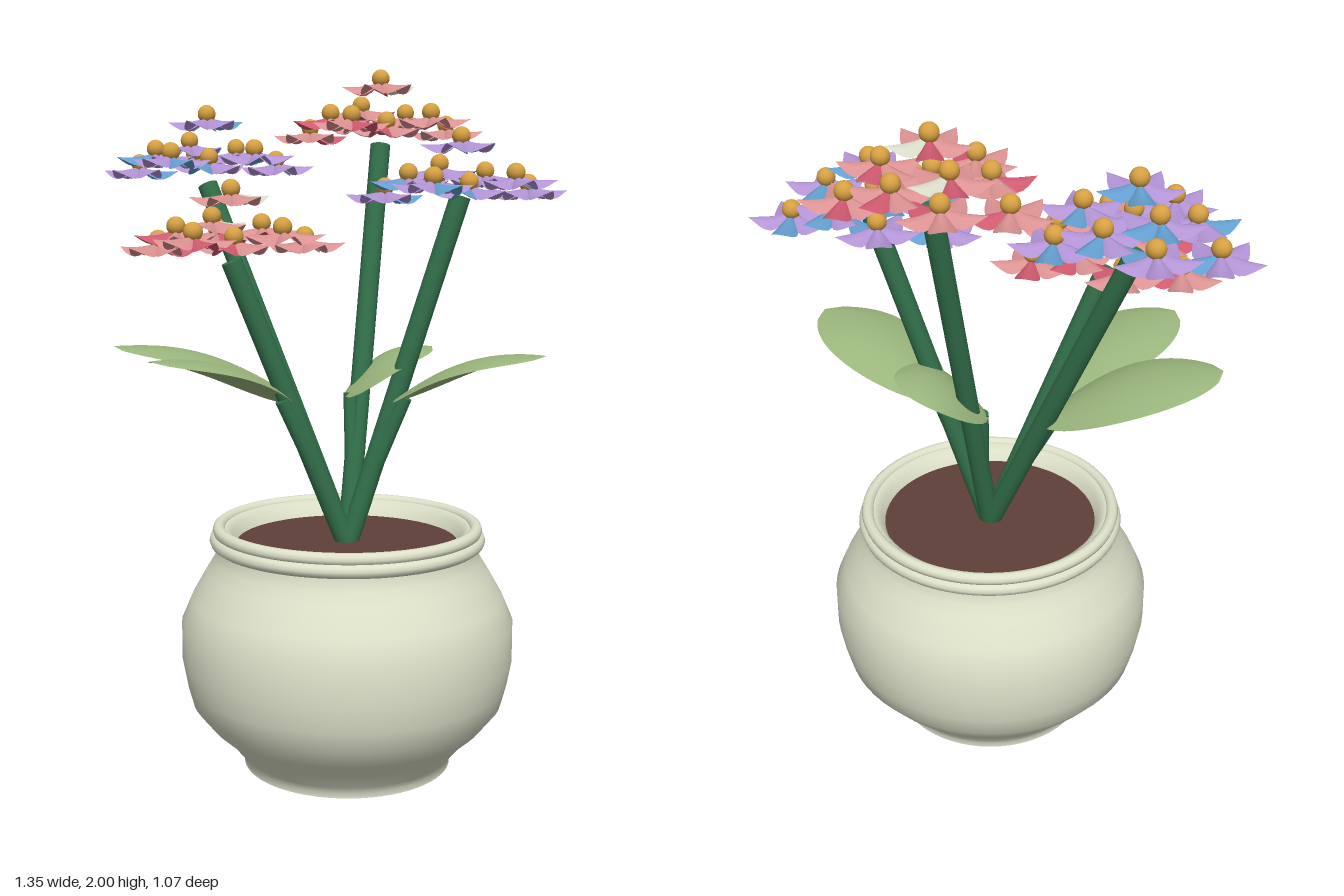
import * as THREE from 'three';

const mat = (name, color, double = false) => {
  const m = new THREE.MeshStandardMaterial({ color });
  m.name = name;
  if (double) m.side = THREE.DoubleSide;
  return m;
};

const V = (x, y, z) => new THREE.Vector3(x, y, z);

function add(parent, name, geometry, material) {
  const mesh = new THREE.Mesh(geometry, material);
  mesh.name = name;
  parent.add(mesh);
  return mesh;
}

// Straight round rod between two points
function rod(parent, name, a, b, r, material) {
  const d = b.clone().sub(a);
  const mesh = add(parent, name, new THREE.CylinderGeometry(r, r, d.length(), 16), material);
  mesh.position.copy(a).addScaledVector(d, 0.5);
  mesh.quaternion.setFromUnitVectors(V(0, 1, 0), d.normalize());
}

// Blade running from the origin along -z: skew moves the widest point outward, power sharpens
// the ends, and the sides droop most near the base
function blade({ length, half, rise, arch, droop, skew, power, nx, ny }) {
  const g = new THREE.PlaneGeometry(2, 1, nx, ny);
  const p = g.attributes.position;
  for (let i = 0; i < p.count; i++) {
    const s = p.getX(i), t = p.getY(i) + 0.5;
    const w = Math.pow(Math.max(0, Math.sin(Math.PI * Math.pow(t, skew))), power);
    const y = rise * t + arch * Math.sin(Math.PI * t) - droop * s * s * w * (1.15 - 0.6 * t);
    p.setXYZ(i, s * w * half, y, -length * t);
  }
  g.computeVertexNormals();
  return g;
}

export function createModel() {
  const model = new THREE.Group();
  model.name = 'pottedFlowers';
  const M = {
    pot: mat('glazed clay', 0xdee2ca),
    soil: mat('soil', 0x5f4038),
    stem: mat('stem green', 0x32704a),
    leaf: mat('leaf green', 0x9ab57c, true),
    purple: mat('purple petal', 0xb394d6, true),
    blue: mat('blue petal', 0x649fd0, true),
    pink: mat('pink petal', 0xdc9292, true),
    crimson: mat('crimson petal', 0xd05a70, true),
    pale: mat('pale petal', 0xd8dac8, true),
    centre: mat('flower centre', 0xd6a042),
  };

  // Pot: turned body, two rounded rim rings, base and soil
  const pot = new THREE.Group();
  pot.name = 'pot';
  pot.position.set(0.045, 0, 0.053);
  model.add(pot);
  const profile = [[0.3, 0], [0.3, 0.015], [0.31, 0.035], [0.35, 0.085], [0.4, 0.13], [0.448, 0.19],
    [0.464, 0.25], [0.477, 0.32], [0.477, 0.43], [0.447, 0.5], [0.404, 0.575], [0.382, 0.61], [0.374, 0.64],
    [0.368, 0.69], [0.35, 0.7], [0.33, 0.685], [0.315, 0.65]];
  add(pot, 'potBody', new THREE.LatheGeometry(profile.map(([r, y]) => new THREE.Vector2(r, y)), 64), M.pot);
  for (const [r, y, tube] of [[0.375, 0.665, 0.02], [0.368, 0.695, 0.018]]) {
    const ring = add(pot, 'potRim', new THREE.TorusGeometry(r, tube, 10, 64), M.pot);
    ring.rotation.x = Math.PI / 2;
    ring.position.y = y;
  }
  add(pot, 'potBase', new THREE.CircleGeometry(0.3, 64), M.pot).rotation.x = Math.PI / 2;
  const soil = add(pot, 'soil', new THREE.CircleGeometry(0.325, 64), M.soil);
  soil.rotation.x = -Math.PI / 2;
  soil.position.y = 0.655;

  // Flower layout shared by every cluster: x, y, z offset and angle of the accent petal in degrees
  const flowers = [
    [0, 0, 0, 100], [-0.05, -0.11, -0.175, -40], [0.08, -0.095, -0.1, 60], [0.2, -0.13, -0.073, 82],
    [-0.207, -0.14, -0.085, 17], [-0.055, -0.075, -0.05, 110], [-0.148, -0.1, 0.025, 200],
    [0.141, -0.1, 0.091, 70], [0.012, -0.125, 0.107, 250], [-0.091, -0.11, 0.175, -55],
  ];
  const petalGeo = blade({ length: 0.117, half: 0.035, rise: -0.012, arch: -0.006, droop: 0.03,
    skew: 1.0, power: 1.05, nx: 4, ny: 8 });
  const centreGeo = new THREE.SphereGeometry(0.026, 16, 12);

  function cluster(name, top, y, main, accent, extra) {
    const group = new THREE.Group();
    group.name = name;
    group.position.set(top.x, y, top.z);
    model.add(group);
    flowers.forEach(([x, dy, z, angle], n) => {
      const flower = new THREE.Group();
      flower.name = 'flower';
      flower.position.set(x, dy, z);
      group.add(flower);
      add(flower, 'flowerCentre', centreGeo, M.centre);
      for (let i = 0; i < 5; i++) {
        let m = main;
        if (i === 0) m = accent;
        else if (i === 4 && n % 5 === 0) m = extra;
        const petal = add(flower, 'petal', petalGeo, m);
        petal.position.y = -0.012 + 0.001 * i;
        petal.rotation.y = THREE.MathUtils.degToRad(angle + 72 * i - 90);
      }
    });
  }

  // Each plant: stem top, cluster height, petal colours, leaf base, leaf tip and leaf half width
  const root = V(0.045, 0.64, 0.053);
  const plants = [
    { top: V(0.15, 1.78, -0.25), y: 1.972, cols: [M.pink, M.crimson, M.pale],
      base: V(0.035, 1.06, -0.035), tip: V(0.295, 1.2, -0.09), half: 0.135 },
    { top: V(0.36, 1.635, 0.03), y: 1.8, cols: [M.purple, M.blue, M.blue],
      base: V(0.175, 1.06, 0.05), tip: V(0.57, 1.215, 0.28), half: 0.15 },
    { top: V(-0.36, 1.665, -0.218), y: 1.868, cols: [M.purple, M.blue, M.blue],
      base: V(-0.11, 1.06, -0.055), tip: V(-0.615, 1.215, 0.025), half: 0.15 },
    { top: V(-0.275, 1.46, 0.135), y: 1.657, cols: [M.pink, M.crimson, M.pale],
      base: V(-0.11, 1.06, 0.095), tip: V(-0.475, 1.215, 0.39), half: 0.15 },
  ];
  for (const { top, y, cols, base, tip, half } of plants) {
    rod(model, 'stem', root, top, 0.029, M.stem);
    const d = tip.clone().sub(base);

    // Stalk leaving the stem and meeting the leaf
    const stalkEnd = base.clone().addScaledVector(d, 0.08);
    rod(model, 'leafStalk', root.clone().lerp(top, 0.15), stalkEnd, 0.02, M.stem);

    const leaf = add(model, 'leaf', blade({ length: Math.hypot(d.x, d.z), half, rise: d.y, arch: 0.05,
      droop: 0.25 * half, skew: 1.12, power: 0.55, nx: 12, ny: 24 }), M.leaf);
    leaf.position.copy(base);
    leaf.rotation.y = Math.atan2(-d.x, -d.z);
    cluster('flowerCluster', top, y, ...cols);
  }
  return model;
}
